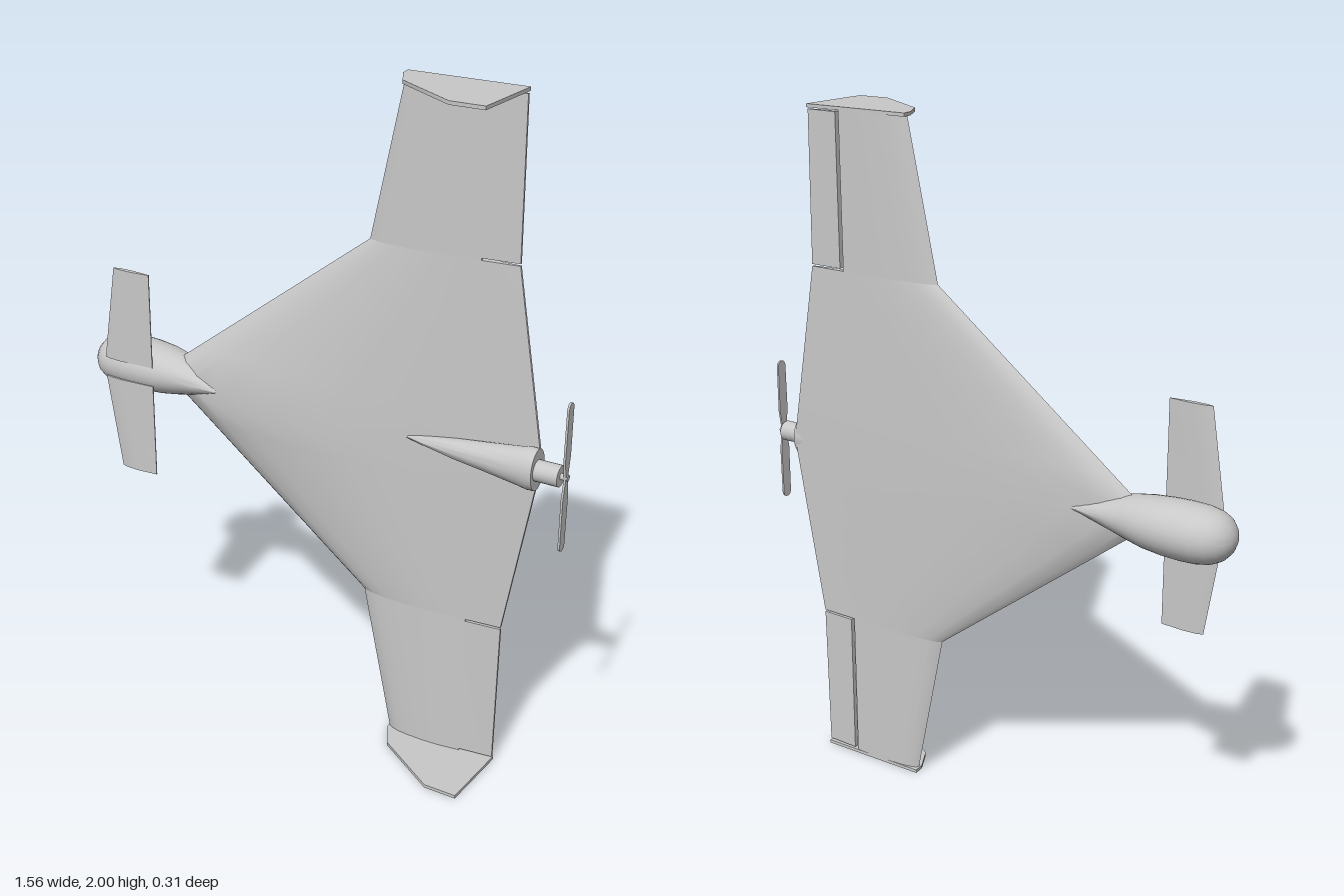
import * as THREE from 'three';
import { toCreasedNormals } from 'three/addons/utils/BufferGeometryUtils.js';

const MID = 1; // height of the aircraft's centreline (span runs along y, nose points to -x)

// Skin a row of matching closed outlines. Each section is { at, pts: [[a, b], ...] }.
// axis 'y': outline in x,z   axis 'x': outline in y,z
function loft(axis, sections, crease = 0.6) {
  const rows = [...sections].sort((a, b) => a.at - b.at).map(({ at, pts }) => {
    const flat = pts.map(([a, b]) => new THREE.Vector2(a, b));
    if (THREE.ShapeUtils.isClockWise(flat)) flat.reverse();
    return { at, flat };
  });
  const n = rows[0].flat.length, pos = [], index = [];
  const tri = (a, b, c) => (axis === 'x' ? index.push(a, b, c) : index.push(a, c, b));
  for (const { at, flat } of rows) {
    for (const p of flat) axis === 'x' ? pos.push(at, p.x, p.y) : pos.push(p.x, at, p.y);
  }
  for (let k = 0; k < rows.length - 1; k++) {
    for (let i = 0; i < n; i++) {
      const j = (i + 1) % n, a = k * n, b = a + n;
      tri(a + i, a + j, b + j);
      tri(a + i, b + j, b + i);
    }
  }
  const last = (rows.length - 1) * n;
  for (const [a, b, c] of THREE.ShapeUtils.triangulateShape(rows[0].flat, [])) tri(a, c, b);
  for (const [a, b, c] of THREE.ShapeUtils.triangulateShape(rows.at(-1).flat, [])) {
    tri(last + a, last + b, last + c);
  }
  const geo = new THREE.BufferGeometry();
  geo.setAttribute('position', new THREE.Float32BufferAttribute(pos, 3));
  geo.setIndex(index);
  return toCreasedNormals(geo, crease);
}

// Elliptical body along x from rows of [x, centre z, half width y, half depth z]
function body(rows, sides = 32) {
  return loft('x', rows.map(([at, zc, ry, rz]) => ({
    at,
    pts: Array.from({ length: sides }, (_, i) => {
      const a = (i / sides) * Math.PI * 2;
      return [MID + ry * Math.cos(a), zc + rz * Math.sin(a)];
    }),
  })), 0.9);
}

// Wing stations: edges plus z of the back and front skins along the chord
const CHORD = [0, 0.03, 0.1, 0.2, 0.36, 0.5, 0.7, 1];
const ROOT = {
  s: 0, le: -0.55, te: 0.688,
  back: [-0.06, -0.079, -0.09, -0.095, -0.093, -0.089, -0.081, -0.067],
  front: [-0.06, -0.035, -0.01, 0.005, 0.012, 0.005, -0.025, -0.058],
};
const KINK = {
  s: 0.54, le: 0.16, te: 0.595,
  back: [-0.052, -0.06, -0.067, -0.071, -0.073, -0.073, -0.071, -0.067],
  front: [-0.052, -0.045, -0.038, -0.035, -0.034, -0.037, -0.046, -0.06],
};
const TIP = { ...KINK, s: 0.99, le: 0.255, te: 0.59 };

const lerp = THREE.MathUtils.lerp;
function station(a, b, s) {
  const f = (s - a.s) / (b.s - a.s);
  const mix = (key) => a[key].map((v, i) => lerp(v, b[key][i], f));
  return { s, le: lerp(a.le, b.le, f), te: lerp(a.te, b.te, f), back: mix('back'), front: mix('front') };
}
const xAt = (st, t) => lerp(st.le, st.te, t);
function skinZ(st, side, x) {
  const t = (x - st.le) / (st.te - st.le);
  const i = Math.min(CHORD.length - 2, CHORD.findLastIndex((c) => c <= t));
  return lerp(st[side][i], st[side][i + 1], (t - CHORD[i]) / (CHORD[i + 1] - CHORD[i]));
}

const HINGE = 0.478, LIP = 0.49;

// Full aerofoil outline
const fullSection = (st) => [
  ...CHORD.map((t, i) => [xAt(st, t), st.back[i]]).reverse(),
  ...CHORD.map((t, i) => [xAt(st, t), st.front[i]]).slice(1),
];
// Aerofoil cut at the hinge, with a thin lip closing the slot on the front skin
function cutSection(st) {
  const keep = CHORD.map((t, i) => i).filter((i) => CHORD[i] < 0.6);
  const lip = skinZ(st, 'front', LIP);
  return [
    [HINGE, skinZ(st, 'back', HINGE)],
    ...keep.map((i) => [xAt(st, CHORD[i]), st.back[i]]).reverse(),
    ...keep.slice(1).map((i) => [xAt(st, CHORD[i]), st.front[i]]),
    [LIP, lip], [LIP, lip - 0.005], [HINGE, lip - 0.005],
  ];
}
const elevonSection = (st) => [
  [LIP, skinZ(st, 'back', LIP)], [LIP, skinZ(st, 'front', LIP)],
  [st.te, st.front.at(-1)], [st.te, st.back.at(-1)],
];

export function createModel() {
  const model = new THREE.Group();
  const grey = new THREE.MeshStandardMaterial({ color: 0xc8c8c8 });
  grey.name = 'light grey';
  const add = (name, geometry) => {
    const mesh = new THREE.Mesh(geometry, grey);
    mesh.name = name;
    model.add(mesh);
    return mesh;
  };

  // Blended delta centre section
  const inner = [];
  for (let k = -5; k <= 5; k++) {
    const s = (k / 5) * KINK.s;
    inner.push({ at: MID + s, pts: fullSection(station(ROOT, KINK, Math.abs(s))) });
  }
  add('centreWing', loft('y', inner));

  // Outer panels, elevons, winglets and foreplanes on both sides
  for (const side of [1, -1]) {
    const label = side > 0 ? 'upper' : 'lower';
    const span = (spans, section) =>
      loft('y', spans.map((s) => ({ at: MID + side * s, pts: section(station(KINK, TIP, s)) })));
    add(label + 'OuterWing', span([0.54, 0.69, 0.84, 0.99], cutSection));
    add(label + 'Elevon', span([0.546, 0.985], elevonSection));

    const plate = [[0.25, -0.073], [0.253, -0.04], [0.29, 0.03], [0.48, 0.153],
      [0.578, 0.153], [0.59, -0.06], [0.59, -0.073]];
    add(label + 'Winglet', loft('y', [0.99, 1].map((s) => ({ at: MID + side * s, pts: plate }))));

    const foil = (s, le) => ({
      at: MID + side * s,
      pts: [[le, 0.011], [le + 0.02, 0.005], [le + 0.06, 0.004], [-0.535, 0.01],
        [-0.535, 0.013], [le + 0.06, 0.019], [le + 0.02, 0.017]],
    });
    add(label + 'Foreplane', loft('y', [foil(0.03, -0.708), foil(0.322, -0.662)]));
  }

  // Bulbous nose fairing tapering into the wing
  add('nosePod', body([
    [-0.781, -0.066, 0.004, 0.004], [-0.778, -0.066, 0.02, 0.022], [-0.768, -0.066, 0.04, 0.043],
    [-0.75, -0.066, 0.059, 0.063], [-0.725, -0.067, 0.071, 0.077], [-0.69, -0.068, 0.078, 0.085],
    [-0.64, -0.067, 0.08, 0.087], [-0.59, -0.066, 0.078, 0.086], [-0.53, -0.063, 0.072, 0.081],
    [-0.47, -0.058, 0.061, 0.069], [-0.4, -0.052, 0.043, 0.059], [-0.33, -0.047, 0.022, 0.052],
    [-0.26, -0.045, 0.002, 0.045],
  ]));

  // Engine fairing, motor and shaft at the tail
  add('engineFairing', body([
    [0.29, -0.028, 0.003, 0.003], [0.35, -0.028, 0.013, 0.016], [0.45, -0.026, 0.029, 0.029],
    [0.55, -0.025, 0.042, 0.037], [0.64, -0.024, 0.055, 0.043], [0.67, -0.024, 0.061, 0.045],
    [0.692, -0.024, 0.06, 0.045],
  ]));
  const rod = (name, r, x0, x1) => {
    const geo = new THREE.CylinderGeometry(r, r, x1 - x0, 24).rotateZ(-Math.PI / 2);
    add(name, geo).position.set((x0 + x1) / 2, MID, -0.022);
  };
  rod('motor', 0.03, 0.68, 0.76);
  rod('propellerShaft', 0.009, 0.755, 0.781);

  // Two-blade pusher propeller
  const blade = new THREE.Shape();
  blade.moveTo(-0.007, 0);
  blade.lineTo(-0.017, 0.06);
  blade.lineTo(-0.016, 0.2);
  blade.quadraticCurveTo(-0.014, 0.217, 0, 0.217);
  blade.quadraticCurveTo(0.014, 0.217, 0.016, 0.2);
  blade.lineTo(0.017, 0.06);
  blade.lineTo(0.007, 0);
  const bladeGeo = new THREE.ExtrudeGeometry(blade, { depth: 0.006, bevelEnabled: false })
    .rotateY(Math.PI / 2);
  for (const turn of [0, Math.PI]) {
    const mesh = add('propellerBlade', bladeGeo);
    mesh.rotation.x = turn;
    mesh.position.set(0.772, MID, -0.018);
  }
  return model;
}
